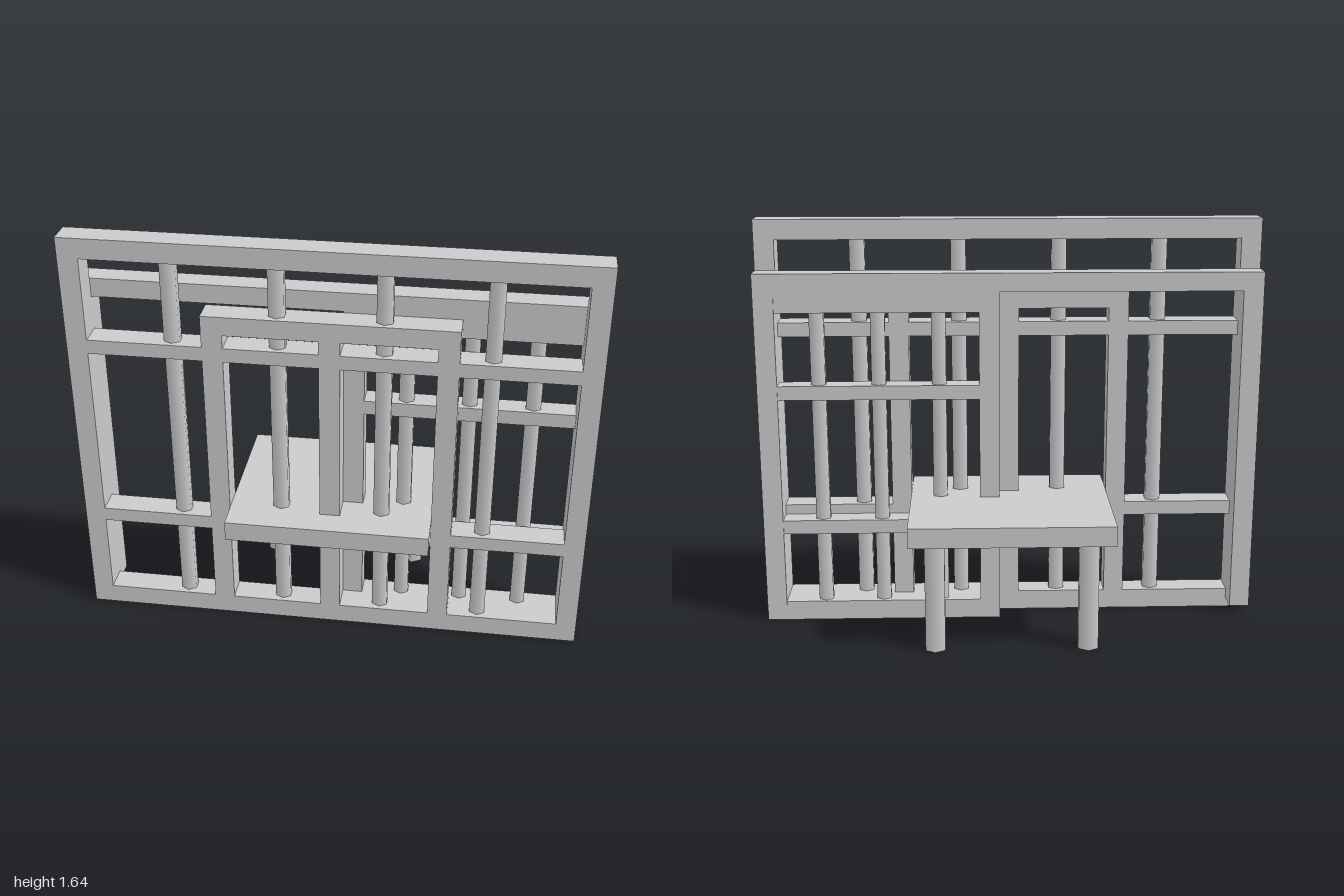
import * as THREE from 'three';

export function createModel() {
  const model = new THREE.Group();
  const material = new THREE.MeshStandardMaterial({ color: 0xcccccc });

  const addBox = (parent, name, x0, x1, y0, y1, z0, z1) => {
    const mesh = new THREE.Mesh(new THREE.BoxGeometry(x1 - x0, y1 - y0, z1 - z0), material);
    mesh.position.set((x0 + x1) / 2, (y0 + y1) / 2, (z0 + z1) / 2);
    mesh.name = name;
    parent.add(mesh);
  };
  const addRod = (parent, name, radius, x, z, y0, y1) => {
    const mesh = new THREE.Mesh(new THREE.CylinderGeometry(radius, radius, y1 - y0, 6), material);
    mesh.position.set(x, (y0 + y1) / 2, z);
    mesh.name = name;
    parent.add(mesh);
  };
  const addGroup = (name) => {
    const group = new THREE.Group();
    group.name = name;
    model.add(group);
    return group;
  };
  // Rectangular border of four beams
  const T = 0.08;
  const addBorder = (parent, x0, x1, height, z0, z1) => {
    addBox(parent, 'leftPost', x1 - T, x1, 0, height, z0, z1);
    addBox(parent, 'rightPost', x0, x0 + T, 0, height, z0, z1);
    addBox(parent, 'bottomBeam', x0 + T, x1 - T, 0, T, z0, z1);
    addBox(parent, 'topBeam', x0 + T, x1 - T, height - T, height, z0, z1);
  };

  const zFront = 0.23, zMid = 0.127, zBack = 0.035, zPanel = 0.04;

  // Tall front frame with rails and round bars
  const front = addGroup('frontFrame');
  addBorder(front, -1, 1, 1.64, zMid, zFront);
  for (const y of [0.415, 1.175]) addBox(front, 'rail', -0.92, 0.92, y, y + 0.057, zMid, zFront);
  for (const x of [-0.6, -0.2, 0.2, 0.6]) addRod(front, 'bar', 0.035, x, (zMid + zFront) / 2, T, 1.565);

  // Inner double doorway set into the front frame
  const doorway = addGroup('doorway');
  for (const x of [-0.44, 0, 0.44]) addBox(doorway, 'upright', x - 0.04, x + 0.04, T, 1.285, zMid, zFront);
  addBox(doorway, 'doorwayTop', -0.48, 0.48, 1.285, 1.36, zMid, zFront);

  // Rear posts and lintel
  const rear = addGroup('rearFrame');
  for (const x of [-0.96, 0.96]) addBox(rear, 'rearPost', x - 0.04, x + 0.04, 0.04, 1.365, zBack, zMid);
  addBox(rear, 'lintel', -1, 1, 1.365, 1.44, zBack, zMid);

  // Barred panel filling the left half of the rear frame
  const panel = addGroup('barredPanel');
  addBorder(panel, 0.04, 1, 1.365, zPanel, zMid);
  for (const y of [0.375, 0.935]) addBox(panel, 'rail', 0.12, 0.92, y, y + 0.057, zPanel, zMid);
  for (const x of [0.28, 0.52, 0.76]) addRod(panel, 'bar', 0.033, x, (zPanel + zMid) / 2, T, 1.285);

  // Table slab passing through the frame, on two rear legs
  const table = addGroup('table');
  addBox(table, 'tableTop', -0.4, 0.4, 0.445, 0.525, -0.34, 0.34);
  for (const x of [-0.3, 0.3]) addRod(table, 'leg', 0.045, x, -0.26, 0, 0.445);

  return model;
}
